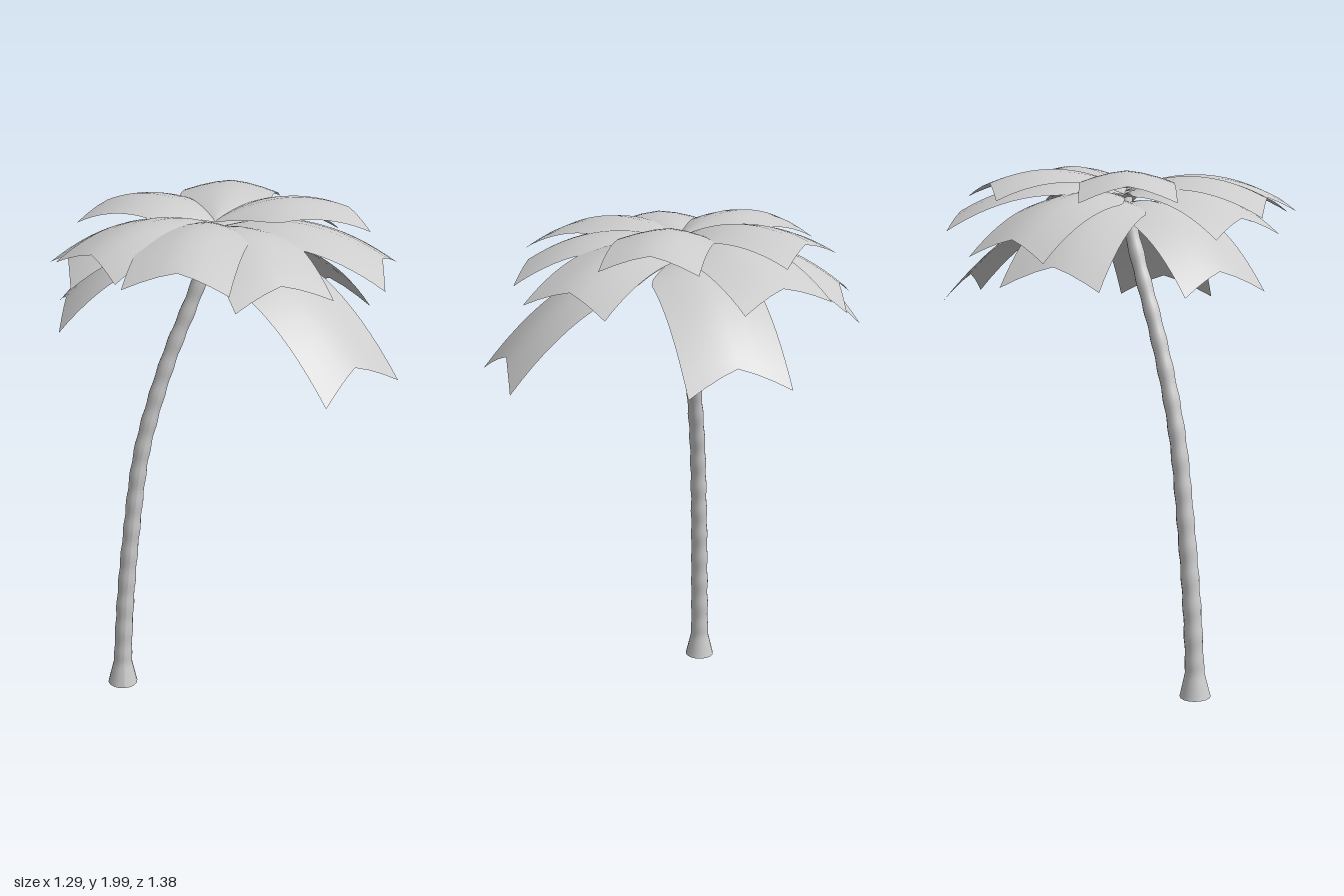
import * as THREE from 'three';

const grey = new THREE.MeshStandardMaterial({ color: 0xcccccc, side: THREE.DoubleSide });
grey.name = 'light grey';

// Leaning trunk: an open tube whose rings are rescaled to flare at the foot and ripple upwards
function makeTrunk() {
  const path = new THREE.CatmullRomCurve3([
    [-0.437, 0, -0.007], [-0.433, 0.12, -0.008], [-0.418, 0.35, -0.01], [-0.387, 0.65, -0.014],
    [-0.338, 1.0, -0.017], [-0.28, 1.22, -0.018], [-0.212, 1.42, -0.02], [-0.13, 1.62, -0.02],
    [-0.07, 1.78, -0.02], [-0.04, 1.88, -0.02],
  ].map((p) => new THREE.Vector3(...p)));
  const rows = 100, sides = 16;
  const geo = new THREE.TubeGeometry(path, rows, 1, sides, false);
  const pos = geo.attributes.position, v = new THREE.Vector3();
  for (let i = 0; i <= rows; i++) {
    const t = i / rows, c = path.getPointAt(t);
    const foot = Math.max(0, 1 - t / 0.052);
    const ripple = foot > 0 ? 0 : 0.0016 * Math.sin((t - 0.052) * Math.PI * 2 * 17);
    const r = 0.037 - 0.01 * t + 0.023 * foot + ripple;
    for (let j = 0; j <= sides; j++) {
      const k = i * (sides + 1) + j;
      v.fromBufferAttribute(pos, k).sub(c).multiplyScalar(r).add(c);
      pos.setXYZ(k, v.x, Math.max(0, v.y), v.z);
    }
  }
  geo.computeVertexNormals();
  const mesh = new THREE.Mesh(geo, grey);
  mesh.name = 'trunk';
  return mesh;
}

// Arching frond: pinched at the crown, then a constant width, with a soft ridge and a notched tip
function makeFrond(x, z, tipY) {
  const crown = new THREE.Vector2(-0.04, -0.02);
  const dir = new THREE.Vector2(x, z).sub(crown);
  const length = dir.length();
  dir.normalize();
  const high = (tipY - 1.43) / 0.46;
  const baseY = 1.83 + 0.09 * high;
  const fold = 0.042, halfWidth = 0.11 + 0.122 * length;
  const arch = new THREE.QuadraticBezierCurve(
    new THREE.Vector2(0, baseY),
    new THREE.Vector2(length * 0.5, baseY + 0.08 + 0.06 * high),
    new THREE.Vector2(length, tipY + fold));
  const rows = 16, cols = 6, points = [], index = [];
  for (let i = 0; i <= rows; i++) {
    for (let j = 0; j <= cols; j++) {
      const s = (j / cols) * 2 - 1, along = i / rows;
      const t = along * (1 - 0.055 * (1 - Math.abs(s)) * along);
      const p = arch.getPoint(t);
      const w = Math.min(1, 0.04 + t / 0.36);
      const side = s * halfWidth * w;
      points.push(
        crown.x + dir.x * p.x - dir.y * side,
        p.y - fold * w * Math.pow(Math.abs(s), 1.5),
        crown.y + dir.y * p.x + dir.x * side);
      if (i < rows && j < cols) {
        const a = i * (cols + 1) + j, b = a + cols + 1;
        index.push(a, a + 1, b, a + 1, b + 1, b);
      }
    }
  }
  const geo = new THREE.BufferGeometry();
  geo.setAttribute('position', new THREE.Float32BufferAttribute(points, 3));
  geo.setIndex(index);
  geo.computeVertexNormals();
  const mesh = new THREE.Mesh(geo, grey);
  mesh.name = 'frond';
  return mesh;
}

export function createModel() {
  const palm = new THREE.Group();
  palm.name = 'palmTree';
  palm.add(makeTrunk());

  // Fronds in three tiers: x and z of the tip, height of the tip corners
  const crown = new THREE.Group();
  crown.name = 'crown';
  for (const tip of [
    [0.505, -0.045, 1.89], [0.145, -0.55, 1.89], [-0.425, -0.34, 1.89],
    [-0.555, 0.26, 1.83], [-0.285, 0.555, 1.83],
    [0.09, 0.575, 1.765], [0.565, 0.245, 1.75], [-0.625, 0.05, 1.765],
    [0.39, -0.515, 1.77], [-0.12, -0.645, 1.69],
    [-0.32, -0.61, 1.6], [-0.63, -0.065, 1.57], [0.525, -0.38, 1.49], [0.375, 0.575, 1.43],
  ]) crown.add(makeFrond(...tip));
  palm.add(crown);

  // Small cluster of nuts under the crown
  for (let i = 0; i < 4; i++) {
    const a = (i / 4) * Math.PI * 2;
    const nut = new THREE.Mesh(new THREE.SphereGeometry(0.02, 12, 8), grey);
    nut.position.set(-0.06 + 0.03 * Math.cos(a), 1.81, -0.02 + 0.03 * Math.sin(a));
    nut.name = 'nut';
    palm.add(nut);
  }
  return palm;
}
